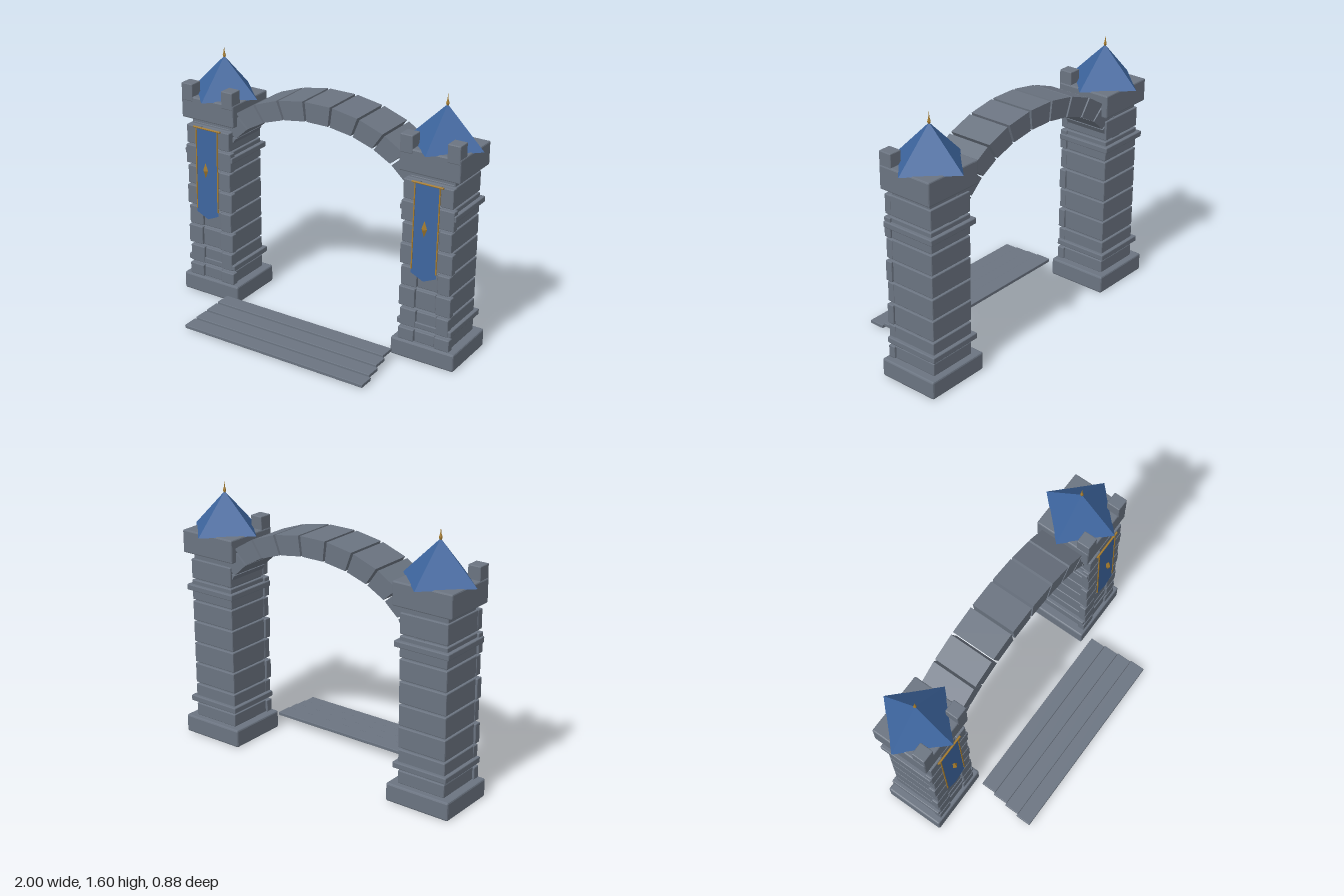
import * as THREE from 'three';
import { RoundedBoxGeometry } from 'three/addons/geometries/RoundedBoxGeometry.js';

const mat = (name, color) => Object.assign(new THREE.MeshStandardMaterial({ color, flatShading: true }), { name });

export function createModel() {
  const model = new THREE.Group();
  model.name = 'gateway';
  const stone = mat('stone', 0x6b7481);
  const blue = mat('blue cloth and roof', 0x3d659e);
  blue.side = THREE.DoubleSide;
  const gold = mat('gold', 0xa67c2e);

  const add = (parent, name, geometry, material) => {
    const mesh = new THREE.Mesh(geometry, material);
    mesh.name = name;
    parent.add(mesh);
    return mesh;
  };
  // Stone block with chamfered edges, given by its limits
  const block = (parent, name, x0, x1, y0, y1, z0, z1, bevel = 0.005) => {
    const geo = new RoundedBoxGeometry(x1 - x0, y1 - y0, z1 - z0, 1, bevel);
    geo.translate((x0 + x1) / 2, (y0 + y1) / 2, (z0 + z1) / 2);
    return add(parent, name, geo, stone);
  };

  // Courses of the pillar: bottom and top heights
  const courses = [
    [0.11, 0.19], [0.205, 0.32], [0.332, 0.457], [0.467, 0.592],
    [0.602, 0.73], [0.74, 0.863], [0.873, 0.998], [1.008, 1.13],
  ];

  function createTower(side) {
    const tower = new THREE.Group();
    tower.name = side > 0 ? 'leftTower' : 'rightTower';
    tower.position.x = side * 0.762;

    block(tower, 'plinth', -0.208, 0.208, 0, 0.112, -0.388, -0.002, 0.01);
    block(tower, 'pillarCore', -0.14, 0.14, 0.1, 1.14, -0.33, -0.055);
    courses.forEach(([y0, y1], i) => {
      block(tower, 'course', -0.155, 0.155, y0, y1, -0.347, -0.04);
      // Front face stones, alternating long and short
      const edge = i % 2 ? 0.158 : 0.168;
      const a = i % 2 ? 0.055 : 0.065;
      const b = i % 2 ? 0.08 : 0.072;
      block(tower, 'cornerStone', -edge, -a, y0 + 0.002, y1 - 0.002, -0.06, -0.015);
      block(tower, 'cornerStone', b, edge, y0 + 0.002, y1 - 0.002, -0.06, -0.015);
      block(tower, 'middleStone', -a + 0.003, b - 0.003, y0 + 0.004, y1 - 0.004, -0.06, -0.025);
    });
    for (const y of [0.21, 0.935]) block(tower, 'bandMoulding', -0.178, 0.178, y, y + 0.036, -0.37, -0.018);
    block(tower, 'neck', -0.145, 0.145, 1.125, 1.175, -0.332, -0.058);
    block(tower, 'cap', -0.192, 0.192, 1.168, 1.31, -0.372, -0.018, 0.008);
    for (const x of [-0.148, 0.148]) block(tower, 'merlon', x - 0.04, x + 0.04, 1.28, 1.39, -0.1, -0.016);

    // Pyramid roof with its corners on the axes
    add(tower, 'roof', new THREE.ConeGeometry(0.238, 0.233, 4), blue).position.set(0, 1.4225, -0.204);
    const spike = [[0, 1.52], [0.005, 1.53], [0.01, 1.545], [0.004, 1.565], [0, 1.6]];
    add(tower, 'finial', new THREE.LatheGeometry(spike.map(([x, y]) => new THREE.Vector2(x, y)), 6), gold)
      .position.z = -0.204;

    // Hanging banner, leaning forward a little at the foot
    const banner = new THREE.Group();
    banner.name = 'banner';
    banner.position.set(0, 1.127, -0.008);
    banner.rotation.x = -0.025;
    tower.add(banner);
    const cloth = new THREE.Shape();
    cloth.moveTo(-0.082, 0);
    cloth.lineTo(-0.082, -0.555);
    cloth.lineTo(0, -0.592);
    cloth.lineTo(0.082, -0.555);
    cloth.lineTo(0.082, 0);
    add(banner, 'bannerCloth', new THREE.ShapeGeometry(cloth), blue);
    for (const x of [-0.079, 0.079])
      add(banner, 'bannerTrim', new THREE.BoxGeometry(0.007, 0.53, 0.005), gold).position.set(x, -0.265, 0.001);
    const rod = add(banner, 'bannerRod', new THREE.CylinderGeometry(0.006, 0.006, 0.2, 8), gold);
    rod.rotation.z = Math.PI / 2;
    const emblem = add(banner, 'diamondEmblem', new THREE.OctahedronGeometry(1), gold);
    emblem.scale.set(0.018, 0.05, 0.016);
    emblem.position.set(0, -0.262, 0.016);
    model.add(tower);
  }
  createTower(1);
  createTower(-1);

  // Elliptical arch of thirteen wedge stones
  const arch = new THREE.Group();
  arch.name = 'arch';
  model.add(arch);
  const count = 13, step = Math.PI / count, gap = 0.011;
  const point = (a, b, t) => new THREE.Vector2(a * Math.cos(t), 0.895 + b * Math.sin(t));
  for (let i = 0; i < count; i++) {
    const t0 = i * step + gap, t1 = (i + 1) * step - gap;
    const wedge = new THREE.Shape([
      point(0.66, 0.412, t0), point(0.78, 0.532, t0), point(0.78, 0.532, t1), point(0.66, 0.412, t1),
    ]);
    const geo = new THREE.ExtrudeGeometry(wedge, { depth: 0.275, bevelEnabled: false });
    geo.translate(0, 0, -0.335);
    add(arch, 'archStone', geo, stone);
  }

  // Shallow steps rising toward the gateway
  for (let i = 0; i < 4; i++) {
    const half = 0.63 - i * 0.0115, y = 0.009 + i * 0.0135, z = 0.437 - i * 0.0955;
    block(model, 'step', -half, half, y, y + 0.021, z - 0.098, z, 0.003);
  }
  return model;
}
